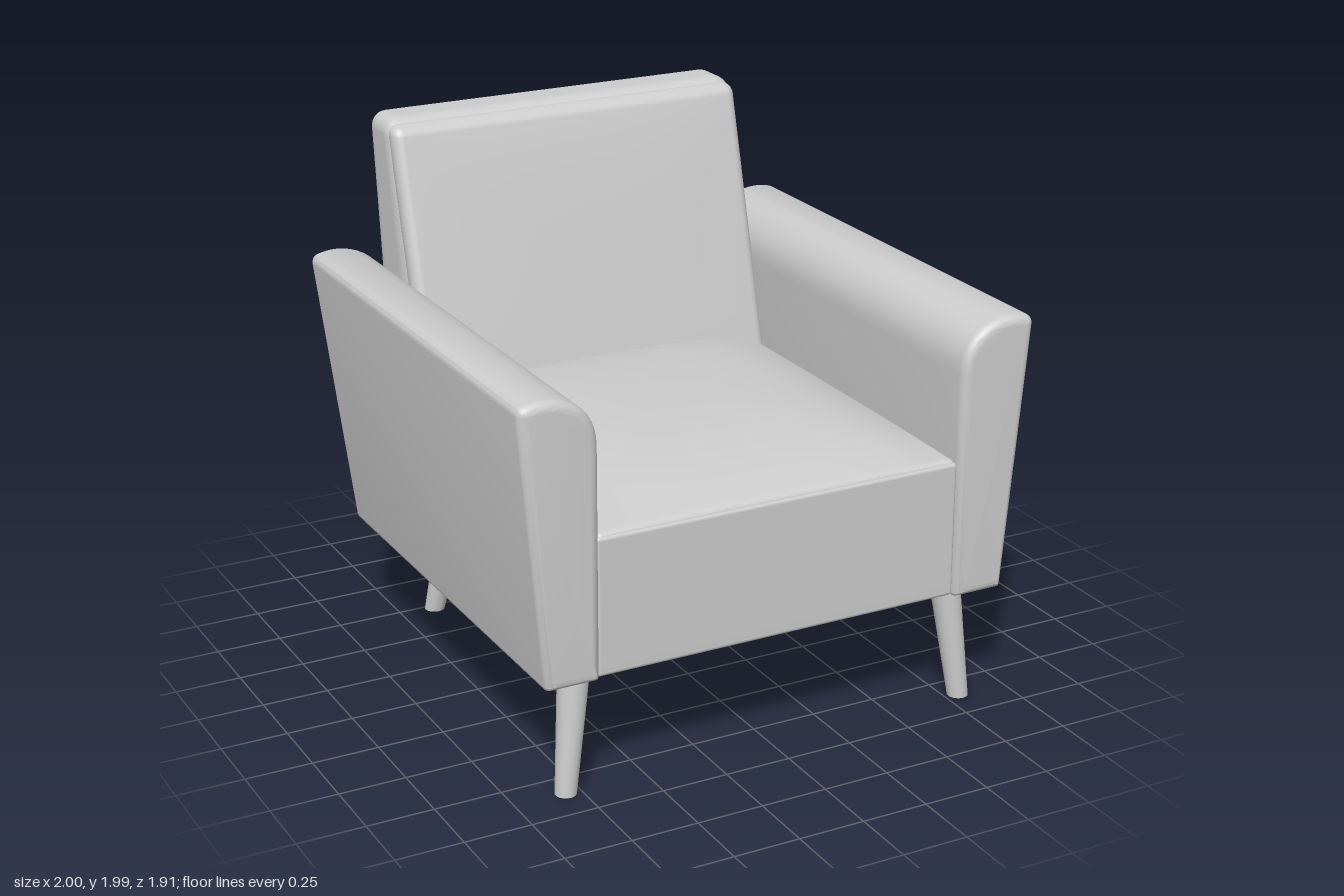
import * as THREE from 'three';
import { mergeVertices, toCreasedNormals } from 'three/addons/utils/BufferGeometryUtils.js';

// Rounded box between two corners, finely divided and then bent by warp(p)
function softBox(min, max, r, warp, edge = 5, inner = 16) {
  const n = inner + 2 * edge;
  const geo = new THREE.BoxGeometry(2, 2, 2, n, n, n);
  geo.deleteAttribute('uv');
  geo.deleteAttribute('normal');
  const pos = geo.attributes.position;
  const p = new THREE.Vector3(), core = new THREE.Vector3();
  const lo = new THREE.Vector3(...min), hi = new THREE.Vector3(...max);
  // gather the grid lines into the rounded edges
  const place = (u, a, b) => {
    const i = Math.round((u + 1) / 2 * n);
    if (i <= edge) return a + r * i / edge;
    if (i >= n - edge) return b - r * (n - i) / edge;
    return a + r + (b - a - 2 * r) * (i - edge) / inner;
  };
  const coreLo = lo.clone().addScalar(r), coreHi = hi.clone().subScalar(r);
  for (let i = 0; i < pos.count; i++) {
    p.fromBufferAttribute(pos, i);
    p.set(place(p.x, lo.x, hi.x), place(p.y, lo.y, hi.y), place(p.z, lo.z, hi.z));
    core.copy(p).clamp(coreLo, coreHi);
    p.sub(core).setLength(r).add(core);
    if (warp) warp(p);
    pos.setXYZ(i, p.x, p.y, p.z);
  }
  const merged = mergeVertices(geo, 1e-5);
  merged.computeVertexNormals();
  return merged;
}

// Armrest: leaning cross-section with a curved top, slanted at the back
function armGeometry() {
  const s = new THREE.Shape();
  s.moveTo(0.73, 0.445);
  s.lineTo(0.895, 0.445);
  s.quadraticCurveTo(0.913, 0.445, 0.915, 0.465);
  s.lineTo(1.0, 1.445);
  s.quadraticCurveTo(1.0, 1.475, 0.97, 1.482);
  s.bezierCurveTo(0.86, 1.51, 0.71, 1.46, 0.71, 1.3);
  s.lineTo(0.71, 0.465);
  s.quadraticCurveTo(0.71, 0.445, 0.73, 0.445);
  const bevel = 0.035, front = 0.955, back = -0.76;
  const geo = new THREE.ExtrudeGeometry(s, {
    depth: front - back - 2 * bevel, bevelEnabled: true, bevelSize: bevel,
    bevelOffset: -bevel, bevelThickness: bevel, bevelSegments: 6, curveSegments: 14,
  });
  geo.translate(0, 0, back + bevel);
  const pos = geo.attributes.position;
  for (let i = 0; i < pos.count; i++) {
    if (pos.getZ(i) < 0) pos.setZ(i, pos.getZ(i) - 0.145 * (pos.getY(i) - 0.445) / 1.04);
  }
  return toCreasedNormals(geo, 0.6);
}

// Tapered round leg between two points
function legGeometry(top, bottom) {
  const geo = new THREE.CylinderGeometry(0.058, 0.039, 1, 28, 1);
  const pos = geo.attributes.position;
  for (let i = 0; i < pos.count; i++) {
    const t = pos.getY(i) + 0.5;
    pos.setXYZ(i,
      pos.getX(i) + THREE.MathUtils.lerp(bottom[0], top[0], t),
      THREE.MathUtils.lerp(bottom[1], top[1], t),
      pos.getZ(i) + THREE.MathUtils.lerp(bottom[2], top[2], t));
  }
  return toCreasedNormals(geo, 0.7);
}

export function createModel() {
  const model = new THREE.Group();
  model.name = 'armchair';
  const grey = new THREE.MeshStandardMaterial({ color: 0xcccccc });
  grey.name = 'plain grey';
  const add = (name, geo) => {
    const mesh = new THREE.Mesh(geo, grey);
    mesh.name = name;
    model.add(mesh);
    return mesh;
  };

  // Seat base and crowned seat cushion
  add('seatBase', softBox([-0.715, 0.45, -0.74], [0.715, 0.965, 0.93], 0.015));
  add('seatCushion', softBox([-0.71, 0.9, -0.72], [0.71, 0.975, 0.925], 0.02, (p) => {
    if (p.y < 0.94) return;
    const x = Math.min(1, Math.abs(p.x) / 0.71), z = Math.min(1, Math.abs(p.z - 0.1) / 0.825);
    p.y += 0.105 * (1 - x ** 4) * (1 - z ** 3);
  }));

  // Backrest frame: both faces lean back, the rear one bends above the arms
  const frontZ = (y) => -0.48 - 0.27 * (y - 1);
  const backZ = (y) => (y < 1.4
    ? -0.77 - 0.14 * (y - 0.45) / 0.95
    : -0.91 - 0.05 * (y - 1.4) / 0.59);
  add('backrestFrame', softBox([-0.727, 0.445, -0.11], [0.727, 1.99, 0.11], 0.06, (p) => {
    p.z = THREE.MathUtils.lerp(backZ(p.y), frontZ(p.y), (p.z + 0.11) / 0.22);
  }));

  // Padded front panel of the backrest
  add('backrestCushion', softBox([-0.72, 0.9, -0.06], [0.72, 1.972, 0.03], 0.04, (p) => {
    const x = Math.abs(p.x) / 0.72, y = Math.abs(p.y - 1.43) / 0.545;
    if (p.z > 0) p.z += 0.012 * (1 - x ** 4) * (1 - y ** 4);
    p.z += frontZ(p.y);
  }));

  // Armrests
  const arm = armGeometry();
  add('leftArm', arm);
  const mirrored = arm.clone().rotateY(Math.PI);
  const mp = mirrored.attributes.position, mn = mirrored.attributes.normal;
  for (let i = 0; i < mp.count; i++) {
    mp.setZ(i, -mp.getZ(i));
    mn.setZ(i, -mn.getZ(i));
  }
  // restore the winding after mirroring
  for (const attr of [mp, mn]) {
    for (let i = 0; i < attr.count; i += 3) {
      const b = [attr.getX(i + 1), attr.getY(i + 1), attr.getZ(i + 1)];
      attr.setXYZ(i + 1, attr.getX(i + 2), attr.getY(i + 2), attr.getZ(i + 2));
      attr.setXYZ(i + 2, ...b);
    }
  }
  add('rightArm', mirrored);

  // Splayed legs, the rear pair set further in
  for (const [side, s] of [['Left', 1], ['Right', -1]]) {
    add('front' + side + 'Leg', legGeometry([s * 0.75, 0.47, 0.82], [s * 0.805, 0, 0.857]));
    add('rear' + side + 'Leg', legGeometry([s * 0.55, 0.47, -0.63], [s * 0.61, 0, -0.728]));
  }
  return model;
}
